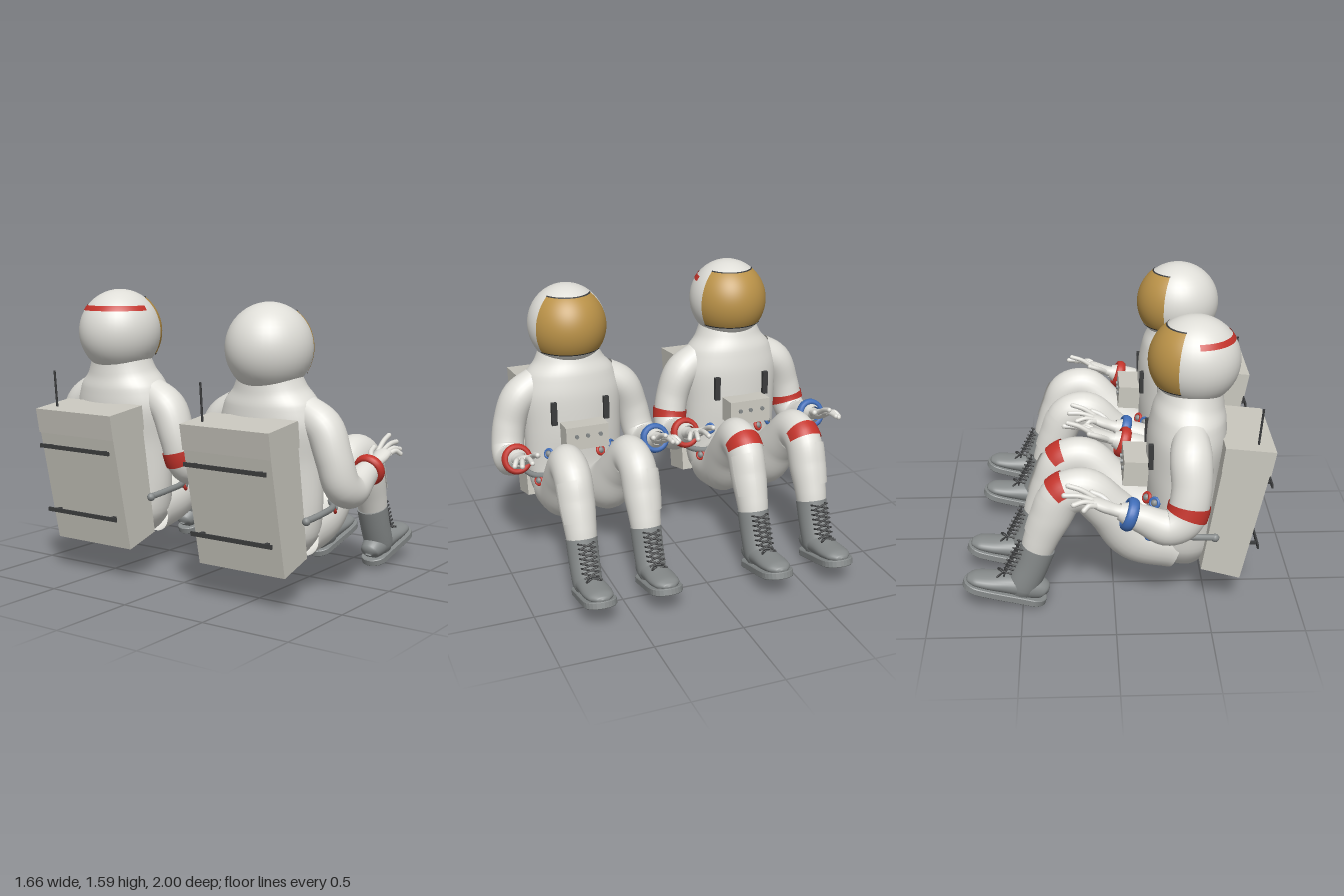
import * as THREE from 'three';

const mat = (name, color, side = THREE.FrontSide) => {
  const m = new THREE.MeshStandardMaterial({ color, side });
  m.name = name;
  return m;
};
const V = (x, y, z) => new THREE.Vector3(x, y, z);

export function createModel() {
  const suit = mat('suit white', 0xdfded8, THREE.DoubleSide);
  const pack = mat('pack grey', 0xc9c7be);
  const gold = mat('visor gold', 0xba9248);
  const red = mat('red', 0xc4342b, THREE.DoubleSide);
  const blue = mat('blue', 0x3f6db8);
  const boot = mat('boot grey', 0x868a8a);
  const dark = mat('dark trim', 0x3b3c3d);

  const add = (parent, name, geo, m, pos) => {
    const mesh = new THREE.Mesh(geo, m);
    mesh.name = name;
    if (pos) mesh.position.set(...pos);
    parent.add(mesh);
    return mesh;
  };

  // Smooth skin through sections [x, y, z, radius in the side plane, radius across];
  // the optional ranges cut a patch out of it, raised by `lift`. Angle 0 is the front or top.
  const loft = (sections, { t0 = 0, t1 = 1, a0 = -Math.PI, a1 = Math.PI, lift = 0, rows = 36, cols = 28 } = {}) => {
    const path = new THREE.CatmullRomCurve3(sections.map(s => V(s[0], s[1], s[2])));
    const radii = new THREE.CatmullRomCurve3(sections.map(s => V(s[3], s[4], 0)), false, 'catmullrom', 0.4);
    const full = a1 - a0 > 6.28, w = full ? cols : cols + 1;
    const pos = [], idx = [];
    for (let i = 0; i <= rows; i++) {
      const t = t0 + (t1 - t0) * i / rows;
      const c = path.getPoint(t), r = radii.getPoint(t), T = path.getTangent(t);
      const S = V(0, 0, 1).addScaledVector(T, -T.z).normalize();
      const N = S.clone().cross(T);
      for (let j = 0; j < w; j++) {
        const a = a0 + (a1 - a0) * j / cols;
        const p = c.clone().addScaledVector(N, (r.x + lift) * Math.cos(a)).addScaledVector(S, (r.y + lift) * Math.sin(a));
        pos.push(p.x, p.y, p.z);
      }
    }
    for (let i = 0; i < rows; i++) for (let j = 0; j < cols; j++) {
      const a = i * w + j, b = i * w + (j + 1) % w;
      idx.push(a, b, a + w, b, b + w, a + w);
    }
    const g = new THREE.BufferGeometry();
    g.setAttribute('position', new THREE.Float32BufferAttribute(pos, 3));
    g.setIndex(idx);
    g.computeVertexNormals();
    return g;
  };

  const rod = (parent, name, a, b, r, m) => {
    const d = b.clone().sub(a);
    const mesh = add(parent, name, new THREE.CylinderGeometry(r, r, d.length(), 8), m);
    mesh.position.copy(a).addScaledVector(d, 0.5);
    mesh.quaternion.setFromUnitVectors(V(0, 1, 0), d.normalize());
  };
  const ring = (parent, name, p, axis, R, tube, m, flat = 1) => {
    const mesh = add(parent, name, new THREE.TorusGeometry(R, tube, 12, 32), m, p);
    mesh.quaternion.setFromUnitVectors(V(0, 0, 1), axis.clone().normalize());
    mesh.scale.z = flat;
    return mesh;
  };
  const tube = (parent, name, pts, r, m) =>
    add(parent, name, new THREE.TubeGeometry(new THREE.CatmullRomCurve3(pts.map(p => V(...p))), 20, r, 10), m);
  const ball = (parent, name, p, r, m) => add(parent, name, new THREE.SphereGeometry(r, 12, 8), m, p);

  const torso = [[-.33, .203, 0, .03, .05], [-.345, .25, 0, .145, .18], [-.36, .36, 0, .19, .26], [-.37, .52, 0, .175, .285],
    [-.375, .75, 0, .19, .29], [-.39, .93, 0, .2, .3], [-.4, 1.05, 0, .188, .265], [-.41, 1.13, 0, .165, .2], [-.42, 1.2, 0, .15, .17]];
  const leg = [[-.33, .36, .12, .15, .14], [-.13, .42, .14, .15, .13], [.01, .58, .165, .122, .115], [.13, .695, .18, .118, .102],
    [.24, .675, .185, .115, .102], [.305, .55, .185, .105, .1], [.36, .42, .185, .09, .088], [.39, .33, .185, .08, .08]];
  const arm = [[-.39, 1.0, .2, .09, .1], [-.385, .93, .31, .105, .1], [-.385, .78, .372, .1, .095], [-.35, .64, .4, .1, .093],
    [-.27, .6, .41, .092, .088], [-.15, .65, .41, .074, .07], [-.07, .685, .41, .058, .058], [-.03, .7, .41, .04, .045]];
  const shaft = [[.372, .37, .185, .09, .086], [.41, .26, .185, .086, .084], [.46, .14, .185, .085, .08], [.475, .09, .185, .07, .06]];

  const buildLeg = (side, striped) => {
    add(side, 'leg', loft(leg, { rows: 48 }), suit);
    add(side, 'shinPocket', loft(leg, { t0: .61, t1: .82, a0: .1, a1: 1.25, lift: .008, rows: 10, cols: 8 }), suit);
    if (striped) add(side, 'kneeStripe', loft(leg, { t0: .535, t1: .585, a0: -1.2, a1: 1.4, lift: .006, rows: 4, cols: 18 }), red);
    // Boot: shaft, rounded sole and upper
    add(side, 'bootShaft', loft(shaft, { rows: 12 }), boot);
    const top = add(side, 'bootCuff', new THREE.CircleGeometry(.087, 28), boot, [.372, .37, .185]);
    top.quaternion.setFromUnitVectors(V(0, 0, 1), V(-.33, .94, 0).normalize());
    const foot = new THREE.Group();
    foot.name = 'foot';
    foot.position.set(.35, .025, .185);
    foot.rotation.z = .29;
    side.add(foot);
    const s = new THREE.Shape();
    s.absarc(.07, 0, .07, Math.PI / 2, Math.PI * 1.5);
    s.bezierCurveTo(.2, -.075, .28, -.088, .36, -.085);
    s.bezierCurveTo(.465, -.08, .465, .08, .36, .085);
    s.bezierCurveTo(.28, .088, .2, .075, .07, .07);
    const sole = new THREE.ExtrudeGeometry(s, { depth: .03, bevelSize: .004, bevelThickness: .004, bevelSegments: 1, curveSegments: 12 });
    sole.rotateX(-Math.PI / 2);
    add(foot, 'sole', sole, boot, [0, .004, 0]);
    const upper = [[.004, .07, .012, .02], [.025, .08, .05, .055], [.1, .085, .068, .072], [.21, .075, .055, .076], [.31, .062, .042, .08],
      [.385, .053, .032, .07], [.425, .045, .016, .035], [.432, .044, .003, .006]];
    add(foot, 'bootUpper', loft(upper.map(([x, y, a, b]) => [x, y, 0, a, b])), boot);
    // Criss-cross laces up the front
    const at = (k, z) => V(.472 + .082 * k, .383 - .165 * k, .185 + z);
    for (let i = 0; i < 7; i++) {
      for (const q of [-1, 1]) {
        rod(side, 'lace', at(i / 7, q * .042), at((i + 1) / 7, -q * .042), .005, dark);
        rod(side, 'laceHook', at(i / 7, q * .042).add(V(-.03, -.012, 0)), at(i / 7, q * .042).add(V(.012, .005, 0)), .005, dark);
      }
    }
    for (const q of [-1, 1]) tube(side, 'laceBow', [[.55, .215, .185], [.575, .222, .185 + q * .03], [.59, .215, .185 + q * .045], [.56, .21, .185]], .004, dark);
  };

  const buildArm = (side, striped, ringMat) => {
    add(side, 'arm', loft(arm, { rows: 44 }), suit);
    if (striped) add(side, 'armStripe', loft(arm, { t0: .345, t1: .4, lift: .006, rows: 4 }), red);
    ring(side, 'wristRing', [-.083, .68, .41], V(.94, .33, 0), .068, .019, ringMat, 1.5);
    // Glove with spread fingers
    const hand = [[-.06, .69, .41, .035, .04], [-.01, .705, .408, .03, .036], [.04, .725, .405, .029, .046],
      [.085, .745, .403, .024, .046], [.115, .755, .403, .008, .03]];
    add(side, 'hand', loft(hand, { rows: 16, cols: 18 }), suit);
    [[.445, .14, .74, .475], [.42, .19, .755, .445], [.395, .235, .785, .4], [.37, .215, .82, .365]].forEach(([z, x, y, z2]) => {
      tube(side, 'finger', [[.08, .748, z], [(x + .09) / 2, (y + .775) / 2, (z + z2) / 2], [x, y, z2]], .0135, suit);
      ball(side, 'fingertip', [x, y, z2], .0135, suit);
    });
    tube(side, 'thumb', [[.0, .71, .38], [.05, .745, .345], [.1, .765, .335]], .015, suit);
    ball(side, 'thumbTip', [.1, .765, .335], .015, suit);
  };

  const buildHelmet = (parent, y, striped) => {
    const h = new THREE.Group();
    h.name = 'helmet';
    h.position.set(-.42, y, 0);
    h.scale.set(.24, .236, .225);
    parent.add(h);
    // Sphere patch centred on the longitude `mid` (front is PI)
    const patch = (name, r, mid, half, th0, th1, m) =>
      add(h, name, new THREE.SphereGeometry(r, 40, 24, mid - half, half * 2, th0, th1 - th0), m);
    patch('shell', 1, Math.PI, Math.PI, 0, Math.PI, suit);
    patch('visor', 1.012, Math.PI, 1.15, .66, 2.12, gold);
    patch('visorTopTrim', 1.022, Math.PI, 1.17, .635, .67, dark);
    patch('visorBottomTrim', 1.022, Math.PI, 1.17, 2.105, 2.14, dark);
    if (striped) patch('helmetStripe', 1.012, 0, 1.55, .9, 1.04, red);
  };

  const buildPack = parent => {
    const slab = (name, pts, depth) => {
      const g = new THREE.ExtrudeGeometry(new THREE.Shape(pts.map(p => new THREE.Vector2(...p))), { depth, bevelEnabled: false });
      add(parent, name, g, pack, [0, 0, -depth / 2]);
    };
    slab('packBody', [[-.67, .2], [-.46, .26], [-.552, .85], [-.8, .82]], .53);
    slab('packLid', [[-.806, .82], [-.548, .85], [-.565, .985], [-.83, .955]], .54);
    rod(parent, 'antenna', V(-.745, .95, -.187), V(-.762, 1.165, -.187), .006, dark);
    for (const [x, y] of [[-.8, .75], [-.745, .38]]) {
      add(parent, 'packRail', new THREE.BoxGeometry(.01, .022, .5), dark, [x - .02, y, 0]);
      for (const z of [-.2, .2]) add(parent, 'railMount', new THREE.BoxGeometry(.05, .014, .02), dark, [x, y, z]);
    }
  };

  const buildPerson = (striped, z) => {
    const person = new THREE.Group();
    person.name = striped ? 'stripedAstronaut' : 'plainAstronaut';
    person.position.z = z;
    const body = new THREE.Group();
    body.name = 'body';
    if (striped) { // slightly larger figure, grown about the hips
      body.scale.set(1.045, 1.035, 1);
      body.position.set(.4 * .045, -.35 * .035, 0);
    }
    person.add(body);
    add(body, 'torso', loft(torso, { rows: 44, cols: 40 }), suit);
    for (const q of [1, -1]) {
      const side = new THREE.Group();
      side.name = q > 0 ? 'rightSide' : 'leftSide';
      side.scale.z = q;
      body.add(side);
      const sideMat = q > 0 ? red : blue;
      buildLeg(side, striped);
      buildArm(side, striped, sideMat);
      // Chest strap, hose and connectors
      add(side, 'chestStrap', new THREE.BoxGeometry(.025, .135, .032), dark, [-.2, .868, .155]);
      tube(side, 'hose', [[-.52, .47, .295], [-.4, .485, .31], [-.24, .495, .285], [-.17, .51, .22], [-.12, .545, .15]], .017, boot);
      ball(side, 'hoseEnd', [-.52, .468, .295], .022, boot);
      ball(side, 'hoseTip', [-.12, .545, .15], .018, boot);
      [[[-.19, .475, .262], sideMat], [[-.22, .62, .19], blue], [[-.185, .61, .11], red]].forEach(([p, m]) => {
        const out = V(p[0] + .37, .1, p[2]);
        ring(side, 'connectorRing', p, out, .024, .009, m);
        ball(side, 'connectorCore', p, .02, boot);
      });
    }
    // Chest control box with knobs
    add(body, 'controlBox', new THREE.BoxGeometry(.125, .135, .25), pack, [-.127, .752, 0]).rotation.z = .06;
    [-.075, 0, .065].forEach(k => rod(body, 'knob', V(-.075, .768, k), V(-.055, .768, k), .012, boot));
    buildHelmet(person, striped ? 1.37 : 1.325, striped);
    buildPack(person);
    return person;
  };

  const model = new THREE.Group();
  model.name = 'seatedAstronauts';
  model.add(buildPerson(false, .502), buildPerson(true, -.502));
  // Rest on the ground
  model.updateMatrixWorld(true);
  const low = new THREE.Box3().setFromObject(model, true).min.y;
  model.children.forEach(c => { c.position.y -= low; });
  return model;
}
